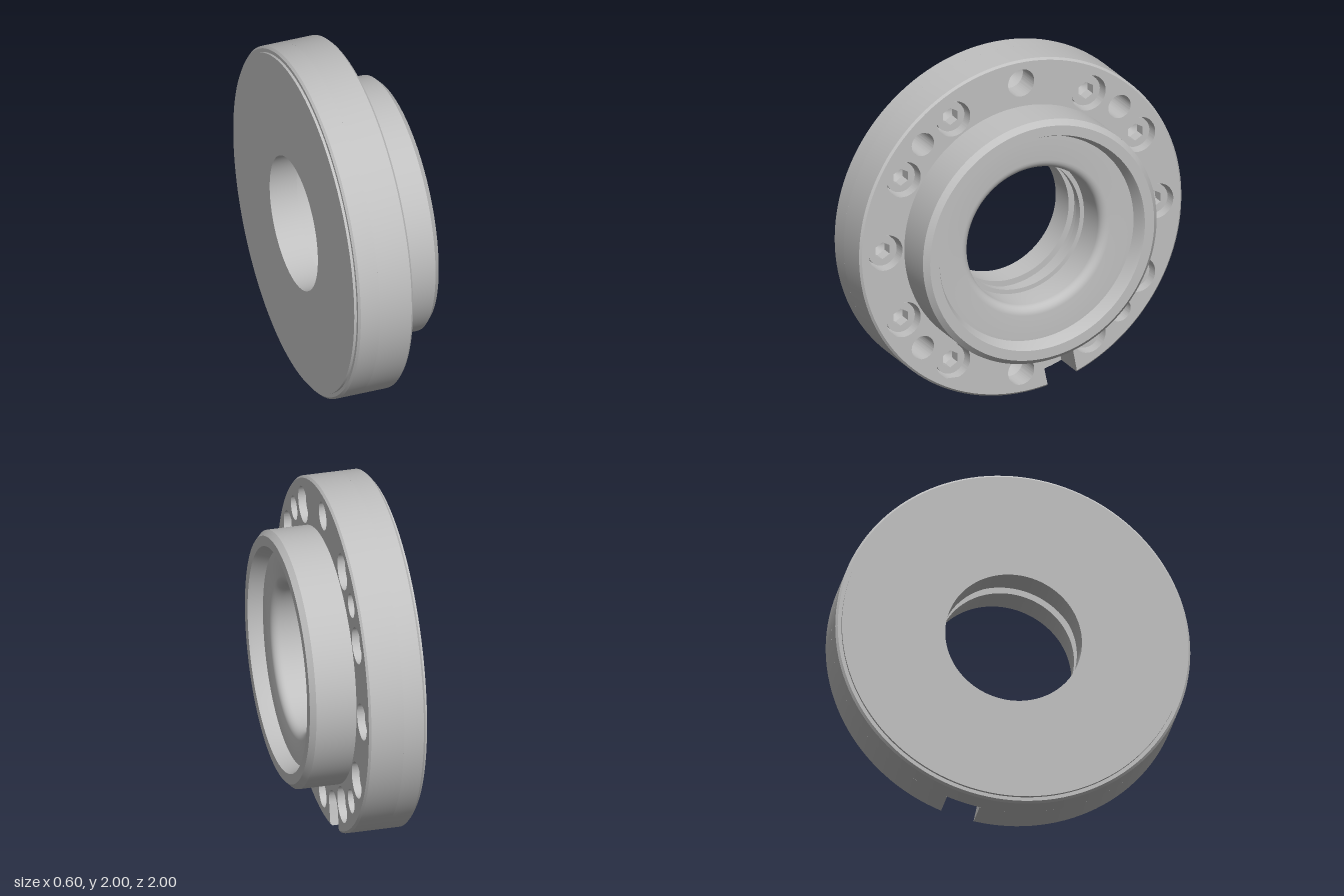
import * as THREE from 'three';
import { toCreasedNormals } from 'three/addons/utils/BufferGeometryUtils.js';

const steel = new THREE.MeshStandardMaterial({ color: 0xc0c0c0 });
steel.name = 'steel grey';

const FACE = 0.04;    // x of the flange front face
const FLOOR = -0.16;  // x of the pocket floor

function part(name, geometry, parent) {
  const mesh = new THREE.Mesh(toCreasedNormals(geometry, 0.4), steel);
  mesh.name = name;
  parent.add(mesh);
  return mesh;
}

// Revolve [radius, x] pairs around the x axis
function turned(points, segments) {
  const g = new THREE.LatheGeometry(points.map(([r, x]) => new THREE.Vector2(r, x)), segments);
  return g.rotateZ(-Math.PI / 2);
}

function circlePath(x, y, r) {
  return new THREE.Path().absarc(x, y, r, 0, Math.PI * 2, true);
}

// Distance along a direction from p to the unit circle
function reachRim(p, d) {
  const b = p.dot(d);
  return p.clone().addScaledVector(d, -b + Math.sqrt(b * b - p.lengthSq() + 1));
}

export function createModel() {
  const model = new THREE.Group();
  model.name = 'flangedBearingHousing';

  // Back disc, hub and stepped bore in one turned profile
  const profile = [
    [0.385, -0.3], [0.967, -0.3], [0.967, -0.285], [0.988, -0.285], [1, -0.273], [1, FLOOR],
    [0.725, FLOOR], [0.725, 0.27], [0.695, 0.3], [0.637, 0.3], [0.627, 0.28], [0.607, 0.22], [0.46, 0.22],
  ];
  for (let i = 1; i <= 6; i++) { // rounded lip of the bore
    const a = (i / 6) * Math.PI / 2;
    profile.push([0.41 + 0.05 * (1 - Math.sin(a)), 0.17 + 0.05 * Math.cos(a)]);
  }
  profile.push([0.41, 0], [0.385, 0], [0.385, -0.05], [0.42, -0.05], [0.42, -0.14], [0.385, -0.14], [0.385, -0.3]);
  part('housingBody', turned(profile, 128), model);

  // Flange front layer: rim with a round-ended notch
  const centre = new THREE.Vector2(0.232, -0.835);
  const dir = new THREE.Vector2(0.2, -0.98).normalize();
  const r = 0.095;
  const side = new THREE.Vector2(-dir.y, dir.x);
  const right = reachRim(centre.clone().addScaledVector(side, r), dir);
  const left = reachRim(centre.clone().addScaledVector(side, -r), dir);
  const sideAngle = side.angle();
  const shape = new THREE.Shape();
  shape.absarc(0, 0, 1, right.angle(), left.angle() + Math.PI * 2, false);
  shape.absarc(centre.x, centre.y, r, sideAngle + Math.PI, sideAngle, true);
  shape.closePath();
  shape.holes.push(circlePath(0, 0, 0.71));

  // Hole pattern
  const screws = [];
  for (let i = 0; i < 12; i++) {
    if (i % 6 === 3) continue;
    const a = (i * Math.PI) / 6;
    screws.push([0.84 * Math.cos(a), 0.84 * Math.sin(a)]);
  }
  const drilled = [[0, 0.865], [0, -0.865]];
  const dowels = [[1, 1], [1, -1], [-1, 1], [-1, -1]].map(([x, y]) => [x * 0.61, y * 0.61]);
  screws.forEach(([x, y]) => shape.holes.push(circlePath(x, y, 0.104)));
  drilled.forEach(([x, y]) => shape.holes.push(circlePath(x, y, 0.081)));
  dowels.forEach(([x, y]) => shape.holes.push(circlePath(x, y, 0.069)));

  const depth = FACE - FLOOR;
  const plate = new THREE.ExtrudeGeometry(shape, { depth, steps: 2, bevelEnabled: false, curveSegments: 64 });
  const pos = plate.attributes.position;
  for (let i = 0; i < pos.count; i++) { // chamfer the front rim
    const z = pos.getZ(i);
    if (Math.abs(z - depth / 2) < 0.001) pos.setZ(i, depth - 0.012);
    else if (z > depth - 0.001 && Math.hypot(pos.getX(i), pos.getY(i)) > 0.995) {
      pos.setXY(i, pos.getX(i) * 0.988, pos.getY(i) * 0.988);
    }
  }
  part('flangePlate', plate.rotateY(Math.PI / 2).translate(FLOOR, 0, 0), model);

  // Socket screws sunk in their counterbores
  const headShape = new THREE.Shape().absarc(0, 0, 0.088, 0, Math.PI * 2, false);
  const hex = [];
  for (let i = 0; i < 6; i++) {
    const a = (i * Math.PI) / 3 + Math.PI / 6;
    hex.push(new THREE.Vector2(0.051 * Math.cos(a), 0.051 * Math.sin(a)));
  }
  headShape.holes.push(new THREE.Path(hex));
  const headGeo = new THREE.ExtrudeGeometry(headShape, { depth: 0.16, bevelEnabled: false, curveSegments: 16 })
    .rotateY(Math.PI / 2).translate(FLOOR, 0, 0);
  const socketGeo = turned([[0.055, -0.06], [0, -0.09]], 24);
  for (const [x, y] of screws) {
    const screw = new THREE.Group();
    screw.name = 'socketScrew';
    part('screwHead', headGeo, screw);
    part('socketFloor', socketGeo, screw);
    screw.position.set(0, y, -x);
    model.add(screw);
  }

  // Conical bottoms of the two drilled holes
  const coneGeo = turned([[0.081, -0.1], [0, -0.15]], 32);
  for (const [x, y] of drilled) part('drillPoint', coneGeo, model).position.set(0, y, -x);

  // Shift up so the rim stands on y = 0
  model.children.forEach((child) => { child.position.y += 1; });
  return model;
}
